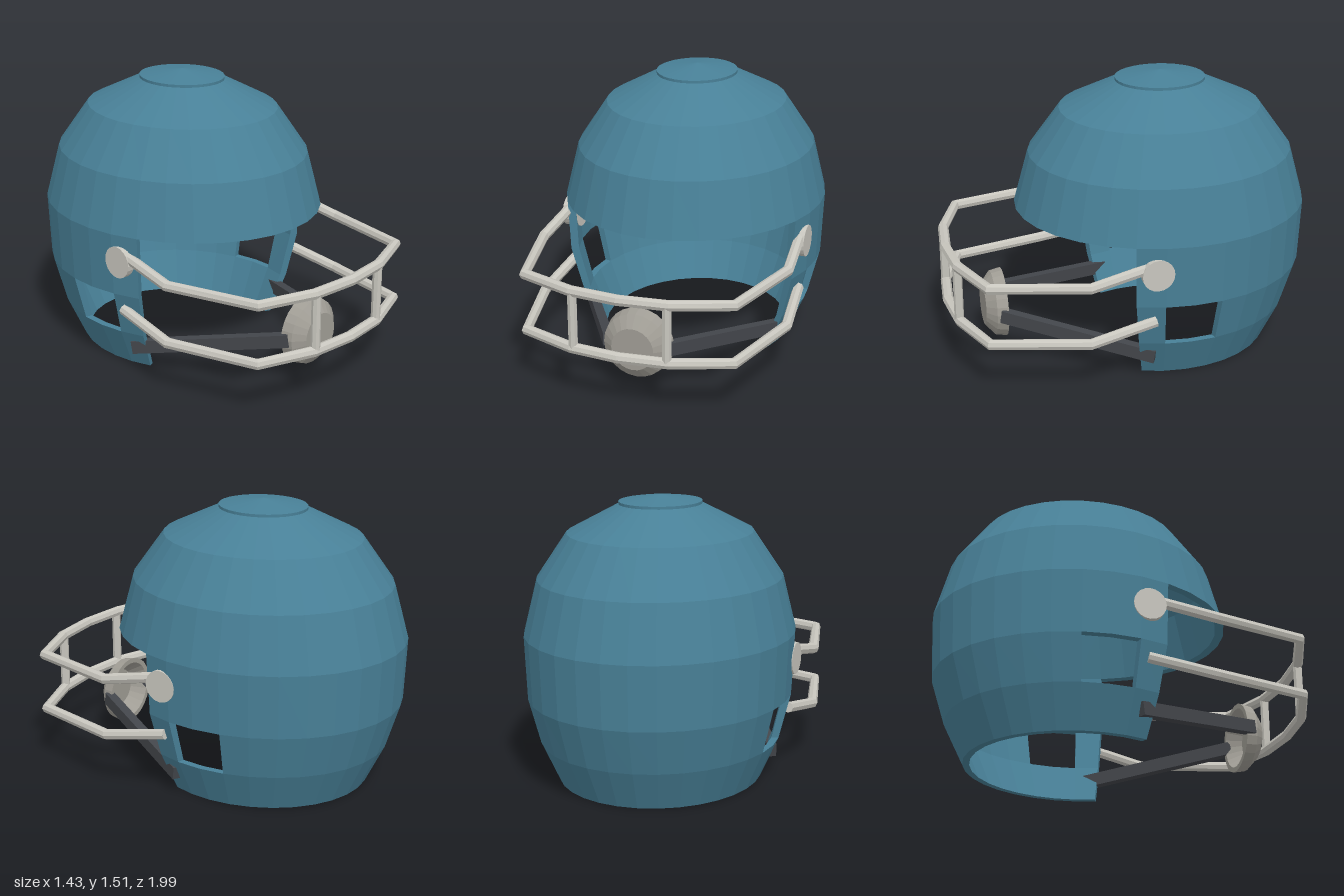
import * as THREE from 'three';

const mat = (name, color, side = THREE.FrontSide) =>
  new THREE.MeshStandardMaterial({ name, color, side, flatShading: true });

// Curve whose tube rings fall exactly on the given points, giving mitred bends
class BentPath extends THREE.Curve {
  constructor(points) { super(); this.points = points; }
  getPointAt(u) { return this.points[Math.round(u * (this.points.length - 1))].clone(); }
  getPoint(u) { return this.getPointAt(u); }
  getTangentAt(u) {
    const p = this.points, i = Math.round(u * (p.length - 1)), t = new THREE.Vector3();
    if (i > 0) t.add(p[i].clone().sub(p[i - 1]).normalize());
    if (i < p.length - 1) t.add(p[i + 1].clone().sub(p[i]).normalize());
    return t.normalize();
  }
}

const CENTRE_Z = -0.21, COLS = 32;

// Hollow shell: elliptical rings with face opening and ear holes left out
function shellGeometry() {
  const rings = [ // y, x radius, z radius
    [0, 0.535, 0.595], [0.215, 0.63, 0.70], [0.455, 0.69, 0.775], [0.79, 0.705, 0.79],
    [1.08, 0.635, 0.71], [1.315, 0.48, 0.54], [1.46, 0.21, 0.236],
  ];
  const point = (r, c, inner) => {
    const [y, rx, rz] = rings[r], a = c / COLS * Math.PI * 2, k = inner ? 0.94 : 1;
    const py = inner && y > 0.79 ? 0.79 + (y - 0.79) * 0.95 : y;
    return [Math.cos(a) * rx * k, py, CENTRE_Z + Math.sin(a) * rz * k];
  };
  const solid = (r, c) => {
    c = (c + COLS) % COLS;
    if (r < 0 || r >= rings.length - 1) return false;
    if (r < 3 && c >= 2 && c <= 13) return false;
    return !(r === 1 && [31, 0, 15, 16].includes(c));
  };
  const pos = [];
  const quad = (a, b, c, d) => pos.push(...a, ...b, ...c, ...a, ...c, ...d);
  // wall joining outer and inner skins along a cut edge
  const wall = (r0, c0, r1, c1) =>
    quad(point(r0, c0), point(r1, c1), point(r1, c1, true), point(r0, c0, true));
  for (let r = 0; r < rings.length - 1; r++) {
    for (let c = 0; c < COLS; c++) {
      if (!solid(r, c)) continue;
      quad(point(r, c), point(r + 1, c), point(r + 1, c + 1), point(r, c + 1));
      quad(point(r, c, true), point(r, c + 1, true), point(r + 1, c + 1, true), point(r + 1, c, true));
      if (!solid(r - 1, c)) wall(r, c, r, c + 1);
      if (!solid(r + 1, c)) wall(r + 1, c + 1, r + 1, c);
      if (!solid(r, c - 1)) wall(r + 1, c, r, c);
      if (!solid(r, c + 1)) wall(r, c + 1, r + 1, c + 1);
    }
  }
  const g = new THREE.BufferGeometry();
  g.setAttribute('position', new THREE.Float32BufferAttribute(pos, 3));
  g.computeVertexNormals();
  return g;
}

export function createModel() {
  const root = new THREE.Group();
  root.name = 'helmet';
  const teal = mat('teal shell', 0x488097, THREE.DoubleSide);
  const steel = mat('pale metal', 0xc8c6be);
  const cupGrey = mat('warm grey', 0xa09d95, THREE.DoubleSide);
  const strapDark = mat('dark strap', 0x43464b);
  const add = (name, geometry, material, parent = root) => {
    const m = new THREE.Mesh(geometry, material);
    m.name = name;
    parent.add(m);
    return m;
  };
  const V = (x, y, z) => new THREE.Vector3(x, y, z);

  add('shell', shellGeometry(), teal);

  // Crown cap: thin rim with a shallow cone
  const cap = add('crownCap', new THREE.LatheGeometry(
    [[0, 1.455], [0.215, 1.455], [0.215, 1.472], [0, 1.507]].map(p => new THREE.Vector2(...p)), COLS), teal);
  cap.scale.z = 1.12;
  cap.position.z = CENTRE_Z;

  // Face guard: two wrap-around bars and two uprights
  const guard = new THREE.Group();
  guard.name = 'faceGuard';
  root.add(guard);
  const bar = (name, y, endX, endY, endZ) => {
    const half = [[endX, endY, endZ], [0.685, y, 0.335], [0.56, y, 0.83], [0.26, y, 0.94]];
    const pts = [
      ...half.map(([x, py, z]) => V(-x, py, z)), V(0, y, 0.965),
      ...half.reverse().map(([x, py, z]) => V(x, py, z)),
    ];
    add(name, new THREE.TubeGeometry(new BentPath(pts), pts.length - 1, 0.029, 8), steel, guard);
    for (const [end, next] of [[pts[0], pts[1]], [pts.at(-1), pts.at(-2)]]) {
      const c = add(name + 'End', new THREE.CircleGeometry(0.029, 8), steel, guard);
      c.position.copy(end);
      c.lookAt(end.clone().multiplyScalar(2).sub(next));
    }
  };
  bar('upperBar', 0.615, 0.66, 0.675, 0.04);
  bar('lowerBar', 0.303, 0.65, 0.37, -0.015);

  // Chin cup: shallow dish opening backwards
  const cup = add('chinCup', new THREE.LatheGeometry(
    [[0, 0.11], [0.115, 0.11], [0.175, 0.06], [0.187, 0], [0.16, 0], [0.105, 0.075], [0, 0.075]]
      .map(p => new THREE.Vector2(...p)).reverse(), 24), cupGrey);
  cup.rotation.x = Math.PI / 2;
  cup.position.set(0, 0.257, 0.667);

  for (const [side, s] of [['left', 1], ['right', -1]]) {
    add(side + 'Upright', new THREE.CylinderGeometry(0.025, 0.025, 0.31, 8), steel, guard)
      .position.set(s * 0.25, 0.459, 0.942);

    // Round fastener through the shell
    const disc = add(side + 'Fastener', new THREE.CylinderGeometry(0.085, 0.085, 0.085, 20), steel);
    disc.rotation.z = Math.PI / 2;
    disc.position.set(s * 0.65, 0.645, -0.015);

    // Chin strap from cup to jaw
    const a = V(s * 0.165, 0.257, 0.7), b = V(s * 0.57, 0.125, -0.035);
    const strap = add(side + 'ChinStrap', new THREE.BoxGeometry(0.05, 0.07, a.distanceTo(b)), strapDark);
    strap.position.copy(a).lerp(b, 0.5);
    strap.lookAt(b);
  }
  return root;
}
